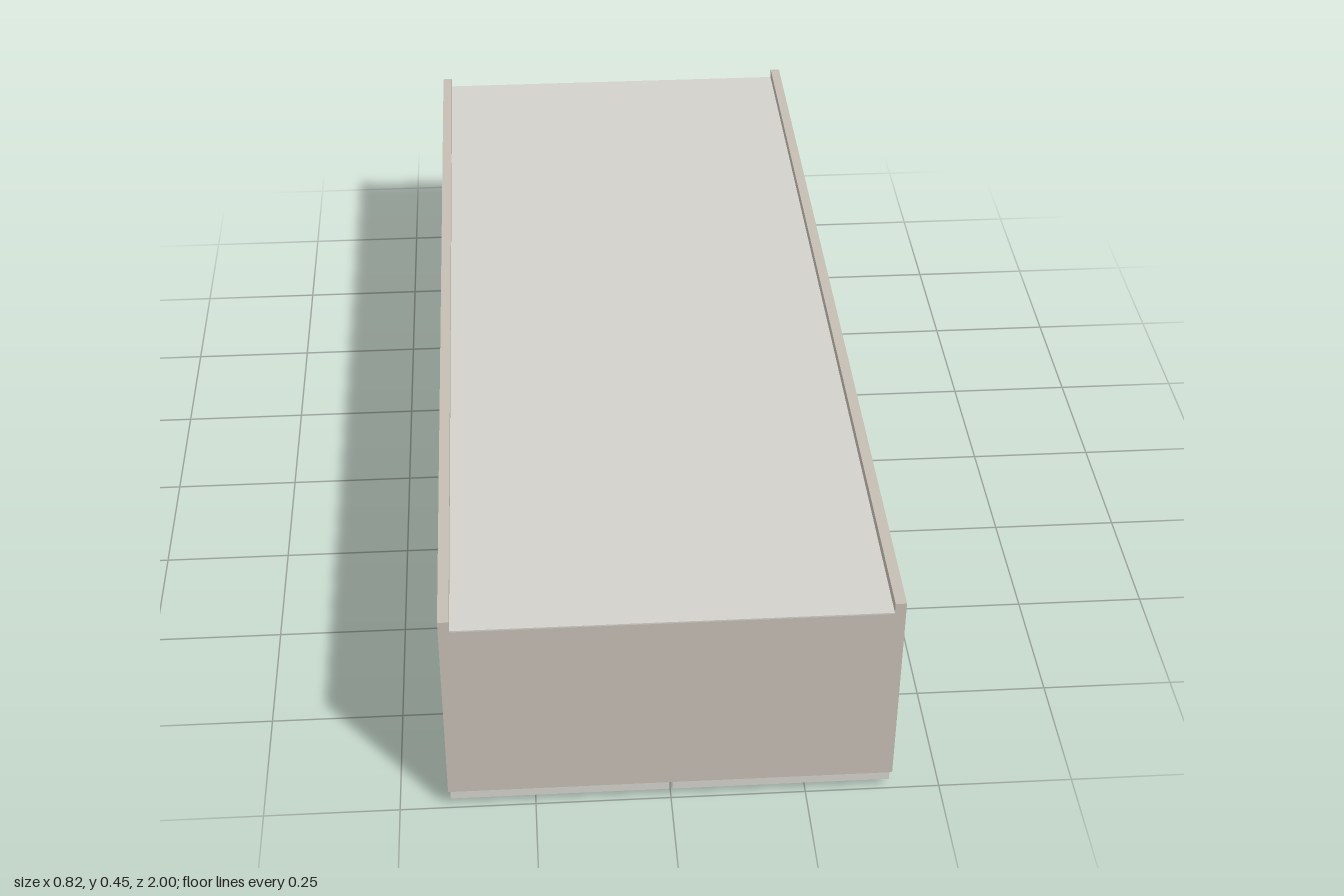
import * as THREE from 'three';

export function createModel() {
  const model = new THREE.Group();
  const carcassMat = new THREE.MeshStandardMaterial({ color: 0xc4bdb3 });
  const panelMat = new THREE.MeshStandardMaterial({ color: 0xd3d1ca });
  const handleMat = new THREE.MeshStandardMaterial({ color: 0x7c7e81 });

  // Box given by its minimum and maximum corners
  function box(name, mat, [x0, y0, z0], [x1, y1, z1]) {
    const mesh = new THREE.Mesh(new THREE.BoxGeometry(x1 - x0, y1 - y0, z1 - z0), mat);
    mesh.position.set((x0 + x1) / 2, (y0 + y1) / 2, (z0 + z1) / 2);
    mesh.name = name;
    model.add(mesh);
  }

  // Back board lying between the raised rims of the side panels
  box('backPanel', panelMat, [-0.39, 0.427, -1], [0.39, 0.43, 1]);

  for (const [side, s] of [['left', 1], ['right', -1]]) {
    const span = (a, b) => (s > 0 ? [a, b] : [-b, -a]);

    // Long side panel, standing proud of the back board
    const [p0, p1] = span(0.39, 0.41);
    box(side + 'SidePanel', carcassMat, [p0, 0.04, -1], [p1, 0.45, 1]);

    // Door, with a narrow gap at the middle
    const [d0, d1] = span(0.003, 0.406);
    box(side + 'Door', panelMat, [d0, 0.018, -0.995], [d1, 0.039, 0.995]);

    // Bar handle near the front end of the door
    const [h0, h1] = span(0.138, 0.268);
    box(side + 'Handle', handleMat, [h0, 0, 0.892], [h1, 0.018, 0.907]);
  }

  // End panels closing the carcass
  box('frontEndPanel', carcassMat, [-0.39, 0.04, 0.98], [0.39, 0.427, 1]);
  box('rearEndPanel', carcassMat, [-0.39, 0.04, -1], [0.39, 0.427, -0.98]);

  return model;
}
